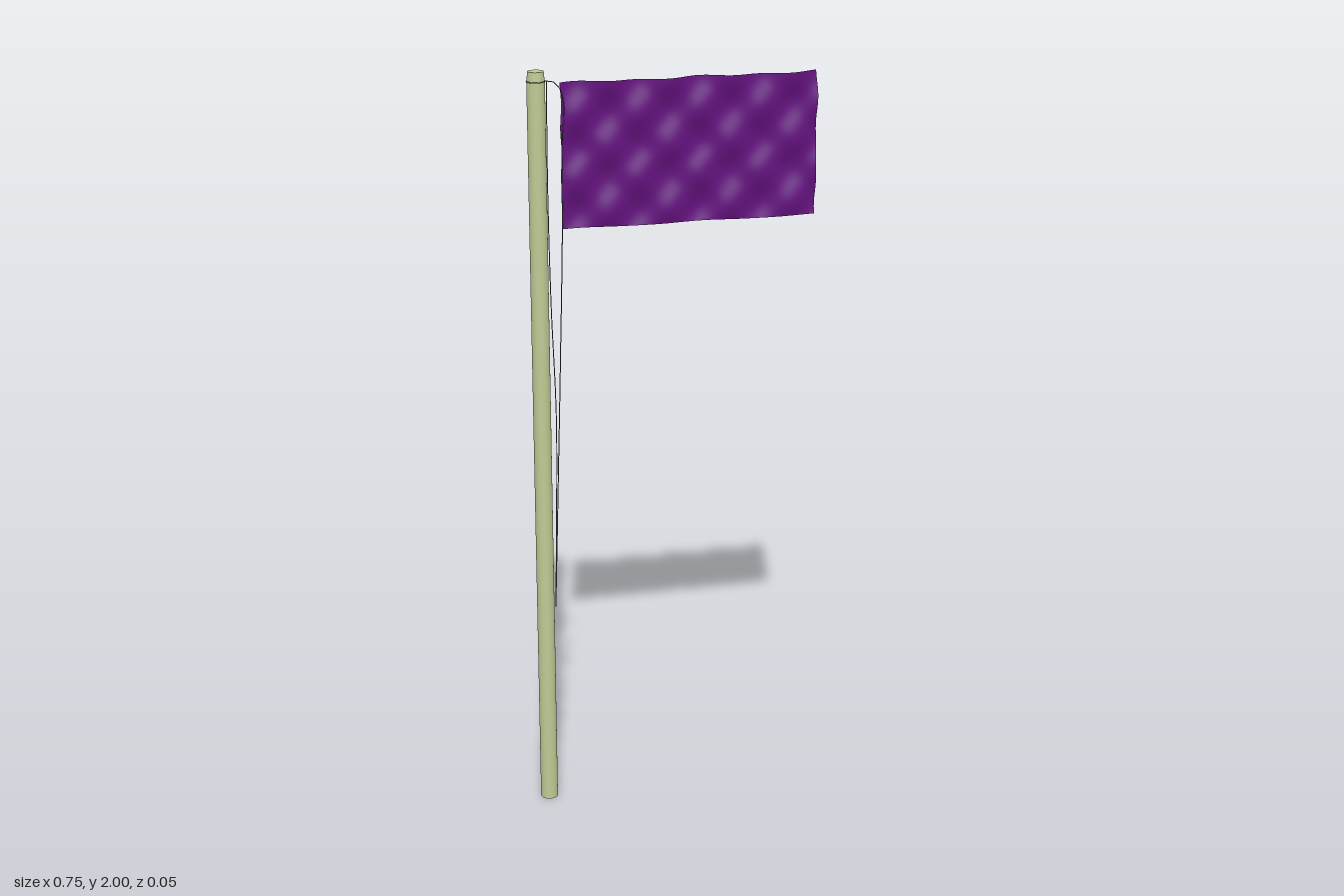
import * as THREE from 'three';

const POLE_X = -0.353, POLE_R = 0.023;

function mesh(name, geometry, color, side = THREE.FrontSide) {
  const m = new THREE.Mesh(geometry, new THREE.MeshStandardMaterial({ color, side }));
  m.name = name;
  return m;
}

// Thin cord through a list of points
function cord(name, points) {
  const curve = new THREE.CatmullRomCurve3(points.map(p => new THREE.Vector3(...p)), false, 'centripetal');
  return mesh(name, new THREE.TubeGeometry(curve, 64, 0.0013, 6), 0x555555);
}

// Height and depth ripple of the cloth
const ripple = (x, y) =>
  0.01 + 0.0095 * Math.sin((x + 0.215) * Math.PI / 0.08) * Math.cos((1.97 - y) * 2 * Math.PI / 0.167);

export function createModel() {
  const group = new THREE.Group();

  // Pole with softly chamfered ends
  const profile = [[0, 0], [0.021, 0], [POLE_R, 0.004], [POLE_R, 1.974]];
  const pole = mesh('pole', new THREE.CylinderGeometry(POLE_R, POLE_R, 1.975, 32), 0xbfca94);
  pole.position.set(POLE_X, 0.9875, 0);
  group.add(pole);

  // Cap, slightly narrower at its top
  const cap = mesh('poleCap', new THREE.CylinderGeometry(0.0205, 0.0225, 0.025, 32), 0xbfca94);
  cap.position.set(POLE_X, 1.9875, 0);
  group.add(cap);

  // Rippled flag cloth
  const cloth = new THREE.PlaneGeometry(0.665, 0.373, 80, 44);
  cloth.translate(0.039, 1.7835, 0);
  const p = cloth.attributes.position;
  for (let i = 0; i < p.count; i++) {
    const x = p.getX(i), y = p.getY(i);
    p.setXYZ(i,
      x + 0.0015 * Math.sin(y * 50),
      y + 0.0015 * Math.sin(x * 20),
      ripple(x, y));
  }
  cloth.computeVertexNormals();
  group.add(mesh('flag', cloth, 0x651380, THREE.DoubleSide));

  // Cord tied round the pole just below the cap
  const knot = mesh('cordRing', new THREE.TorusGeometry(POLE_R, 0.0013, 6, 32), 0x555555);
  knot.rotation.x = Math.PI / 2;
  knot.position.set(POLE_X, 1.975, 0);
  group.add(knot);

  // Halyard: over to the flag, along its hoist, down, and back up beside the pole
  group.add(cord('hoistCord', [
    [-0.33, 1.975, 0], [-0.315, 1.975, 0.002], [-0.298, 1.962, 0.011],
    [-0.287, 1.925, 0.015], [-0.292, 1.8, 0.012], [-0.294, 1.6, 0.012],
    [-0.304, 1.25, 0.009], [-0.315, 0.9, 0.005], [-0.326, 0.56, 0.001]]));
  group.add(cord('returnCord', [
    [-0.326, 0.56, 0.001], [-0.321, 0.8, 0.005], [-0.317, 1.1, 0.007],
    [-0.325, 1.4, 0.005], [-0.328, 1.7, 0.002], [-0.326, 1.975, 0]]));

  return group;
}
